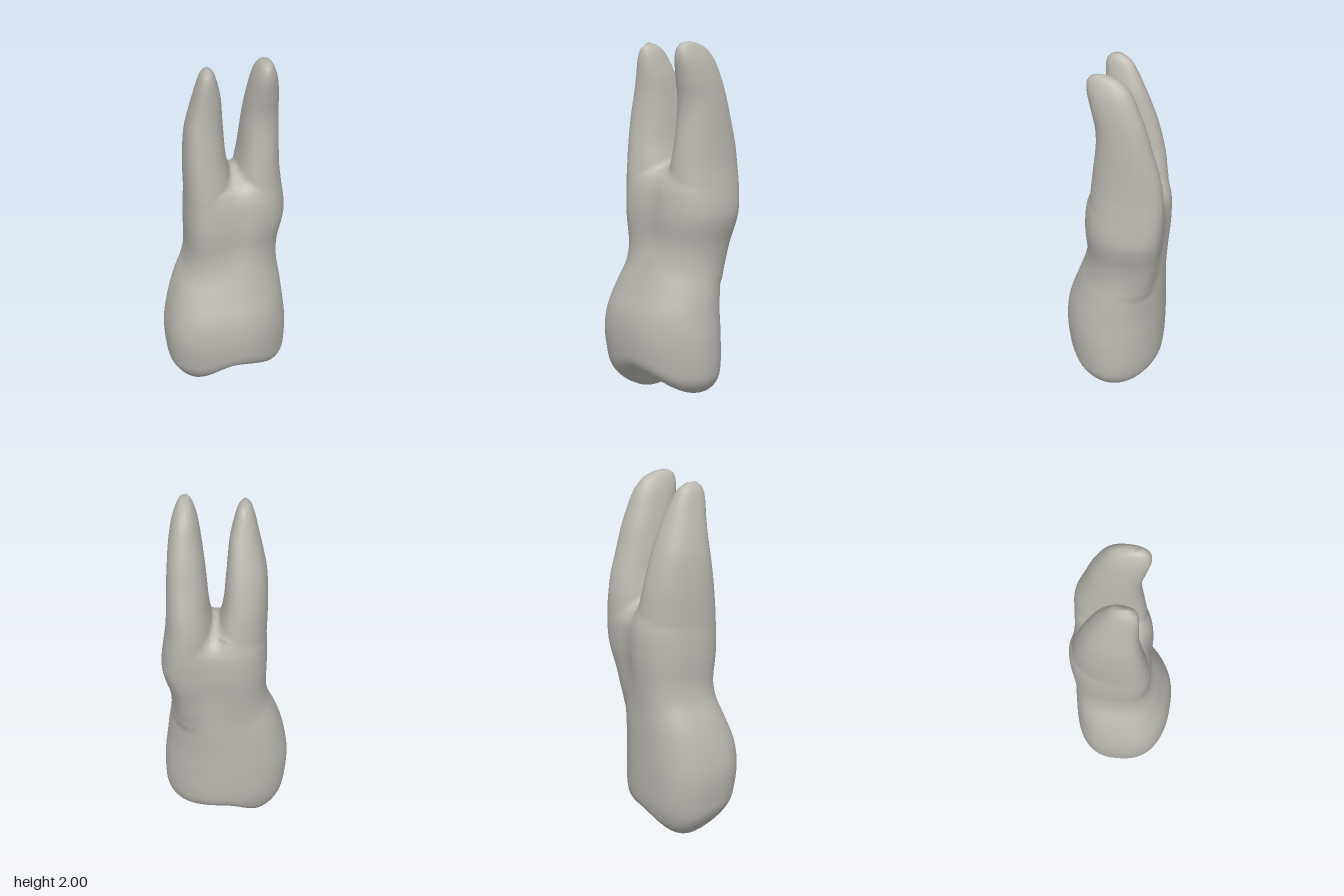
import * as THREE from 'three';

// Stacks of cross-sections, rows are [y, x min, x max, z back, z front].
// power squares the corners, taper rounds the +x side, skew leans the section diagonally.
const BODY = {
  power: 2.22, taper: 0.33, skew: 0, rows: [
    [0, -0.27, 0.29, -0.19, 0.215], [0.1, -0.32, 0.325, -0.235, 0.245],
    [0.2, -0.345, 0.345, -0.26, 0.268], [0.38, -0.36, 0.345, -0.267, 0.29],
    [0.52, -0.34, 0.33, -0.267, 0.278], [0.66, -0.298, 0.315, -0.268, 0.23],
    [0.8, -0.238, 0.293, -0.266, 0.181], [0.92, -0.2, 0.282, -0.262, 0.153],
    [1.08, -0.18, 0.285, -0.266, 0.148], [1.2, -0.15, 0.26, -0.258, 0.133],
    [1.25, -0.1, 0.2, -0.228, 0.112], [1.28, -0.03, 0.13, -0.18, 0.082],
    [1.295, 0.03, 0.08, -0.12, 0.04],
  ],
};
const RIGHT_ROOT = {
  power: 2.3, taper: 0, skew: 0.25, rows: [
    [0.7, -0.14, 0, -0.15, 0.05], [0.85, -0.185, 0.03, -0.22, 0.1],
    [0.97, -0.21, 0.045, -0.252, 0.135], [1.1, -0.222, 0.06, -0.267, 0.15],
    [1.25, -0.226, 0.052, -0.266, 0.146], [1.33, -0.228, 0.04, -0.258, 0.137],
    [1.45, -0.228, 0.015, -0.24, 0.122], [1.6, -0.22, 0, -0.202, 0.102],
    [1.7, -0.202, -0.01, -0.167, 0.092], [1.8, -0.18, -0.022, -0.127, 0.09],
    [1.9, -0.157, -0.049, -0.08, 0.09], [1.95, -0.14, -0.069, -0.047, 0.08],
    [1.975, -0.122, -0.09, -0.01, 0.058],
  ],
};
const LEFT_ROOT = {
  power: 2.2, taper: 0, skew: 0.18, rows: [
    [0.7, 0.14, 0.24, -0.15, 0], [0.8, 0.11, 0.268, -0.205, 0.04],
    [0.9, 0.08, 0.298, -0.24, 0.08], [1.0, 0.056, 0.335, -0.266, 0.112],
    [1.08, 0.052, 0.351, -0.278, 0.122], [1.2, 0.058, 0.342, -0.287, 0.12],
    [1.33, 0.07, 0.325, -0.284, 0.11],
    [1.45, 0.089, 0.318, -0.265, 0.095], [1.6, 0.102, 0.312, -0.222, 0.078],
    [1.7, 0.112, 0.305, -0.195, 0.08], [1.8, 0.124, 0.295, -0.16, 0.1],
    [1.9, 0.14, 0.275, -0.118, 0.12], [1.96, 0.16, 0.25, -0.07, 0.118],
    [1.99, 0.18, 0.23, -0.01, 0.095], [2.0, 0.2, 0.21, 0.04, 0.065],
  ],
};

// Smooth interpolation of a section table at height y
function sectionAt(rows, y) {
  const last = rows.length - 1;
  if (y <= rows[0][0]) return rows[0];
  if (y >= rows[last][0]) return rows[last];
  let i = 0;
  while (rows[i + 1][0] < y) i++;
  const a = rows[i], b = rows[i + 1], p = rows[Math.max(i - 1, 0)], n = rows[Math.min(i + 2, last)];
  const d = b[0] - a[0], t = (y - a[0]) / d, t2 = t * t, t3 = t2 * t;
  return a.map((v, k) => {
    const ma = (b[k] - p[k]) / (b[0] - p[0]) * d;
    const mb = (n[k] - v) / (n[0] - a[0]) * d;
    return (2 * t3 - 3 * t2 + 1) * v + (t3 - 2 * t2 + t) * ma + (3 * t2 - 2 * t3) * b[k] + (t3 - t2) * mb;
  });
}

// Signed field of a stack of rounded sections, negative inside
function stackField({ rows, power, taper, skew }, x, y, z, openBelow) {
  const s = sectionAt(rows, y);
  const rx = Math.max((s[2] - s[1]) / 2, 0.004), rz = Math.max((s[4] - s[3]) / 2, 0.004);
  const u = (x - (s[1] + s[2]) / 2) / rx, w = (z - (s[3] + s[4]) / 2) / rz;
  const p = power - taper * Math.tanh(2 * u);
  const lean = 2 * skew * u * w * Math.pow(u * u + w * w, p / 2 - 1);
  const sum = Math.pow(Math.abs(u), p) + Math.pow(Math.abs(w), p) + lean;
  const r = Math.pow(sum / (1 - skew * skew), 1 / p);
  const below = openBelow ? 0 : Math.max(0, rows[0][0] - y);
  return (r - 1) * Math.min(rx, rz) + below + Math.max(0, y - rows[rows.length - 1][0]);
}

const smoothMin = (a, b, k) => {
  const h = Math.max(k - Math.abs(a - b), 0) / k;
  return Math.min(a, b) - h * h * k / 4;
};
const bump = (x, z, cx, cz, wx, wz) => Math.exp(-(((x - cx) / wx) ** 2) - ((z - cz) / wz) ** 2);

// Chewing surface: two cusps with a hollow between them
const biteHeight = (x, z) => 0.152 + 0.18 * z
  - 0.146 * bump(x, z, -0.2, -0.04, 0.14, 0.28)
  - 0.085 * bump(x, z, 0.25, 0.04, 0.15, 0.27)
  + 0.045 * bump(x, z, -0.03, 0.07, 0.08, 0.14);

function toothField(x, y, z) {
  const roots = smoothMin(
    stackField(RIGHT_ROOT, x, y, z, false), stackField(LEFT_ROOT, x, y, z, false), 0.06);
  const solid = smoothMin(roots, stackField(BODY, x, y, z, true), 0.09);
  return -smoothMin(-solid, -(biteHeight(x, z) - y) * 0.85, 0.075);
}

function gradient(f, p) {
  const e = 0.004;
  return new THREE.Vector3(
    f(p.x + e, p.y, p.z) - f(p.x - e, p.y, p.z),
    f(p.x, p.y + e, p.z) - f(p.x, p.y - e, p.z),
    f(p.x, p.y, p.z + e) - f(p.x, p.y, p.z - e)).divideScalar(2 * e);
}

// Skin a field with one vertex per surface cell and one quad per crossed edge
function skinField(f, min, size, step) {
  const n = size.map((s) => Math.ceil(s / step) + 1);
  const stride = [1, n[0], n[0] * n[1]];
  const at = (i, j, k) => i + j * stride[1] + k * stride[2];
  const values = new Float32Array(n[0] * n[1] * n[2]);
  const ids = new Int32Array(values.length).fill(-1);
  const each = (from, to, fn) => {
    for (let k = from; k < n[2] - to; k++)
      for (let j = from; j < n[1] - to; j++)
        for (let i = from; i < n[0] - to; i++) fn(i, j, k);
  };
  each(0, 0, (i, j, k) => {
    values[at(i, j, k)] = f(min[0] + i * step, min[1] + j * step, min[2] + k * step);
  });

  const positions = [], normals = [], index = [];
  each(0, 1, (i, j, k) => {
    const sum = new THREE.Vector3();
    let count = 0;
    for (let c = 0; c < 8; c++) {
      for (let a = 0; a < 3; a++) {
        if (c & (1 << a)) continue;
        const o = [c & 1, (c >> 1) & 1, (c >> 2) & 1];
        const q = at(i + o[0], j + o[1], k + o[2]);
        const va = values[q], vb = values[q + stride[a]];
        if ((va < 0) === (vb < 0)) continue;
        o[a] += va / (va - vb);
        sum.x += o[0]; sum.y += o[1]; sum.z += o[2];
        count++;
      }
    }
    if (!count) return;
    const p = sum.divideScalar(count).add(new THREE.Vector3(i, j, k)).multiplyScalar(step)
      .add(new THREE.Vector3(...min));
    // Pull the vertex onto the true surface
    for (let r = 0; r < 2; r++) {
      const g = gradient(f, p);
      const move = g.multiplyScalar(-f(p.x, p.y, p.z) / Math.max(g.lengthSq(), 0.05));
      p.add(move.clampLength(0, step * 0.4));
    }
    ids[at(i, j, k)] = positions.length / 3;
    positions.push(p.x, p.y, p.z);
    normals.push(...gradient(f, p).normalize().toArray());
  });

  each(1, 1, (i, j, k) => {
    const q = at(i, j, k);
    for (let a = 0; a < 3; a++) {
      const inside = values[q] < 0;
      if (inside === (values[q + stride[a]] < 0)) continue;
      const sb = stride[(a + 1) % 3], sc = stride[(a + 2) % 3];
      const [v0, v1, v2, v3] = [q - sb - sc, q - sc, q, q - sb].map((m) => ids[m]);
      if (inside) index.push(v0, v1, v2, v0, v2, v3);
      else index.push(v0, v2, v1, v0, v3, v2);
    }
  });

  const geometry = new THREE.BufferGeometry();
  geometry.setAttribute('position', new THREE.Float32BufferAttribute(positions, 3));
  geometry.setAttribute('normal', new THREE.Float32BufferAttribute(normals, 3));
  geometry.setIndex(index);
  return geometry;
}

export function createModel() {
  const enamel = new THREE.MeshStandardMaterial({ color: 0xbab7b0 });
  enamel.name = 'warm grey enamel';

  // Crown and both roots form one continuous skin
  const tooth = new THREE.Mesh(
    skinField(toothField, [-0.44, -0.07, -0.36], [0.88, 2.14, 0.74], 0.02), enamel);
  tooth.name = 'toothCrownAndRoots';

  const group = new THREE.Group();
  group.name = 'tooth';
  group.add(tooth);
  return group;
}
